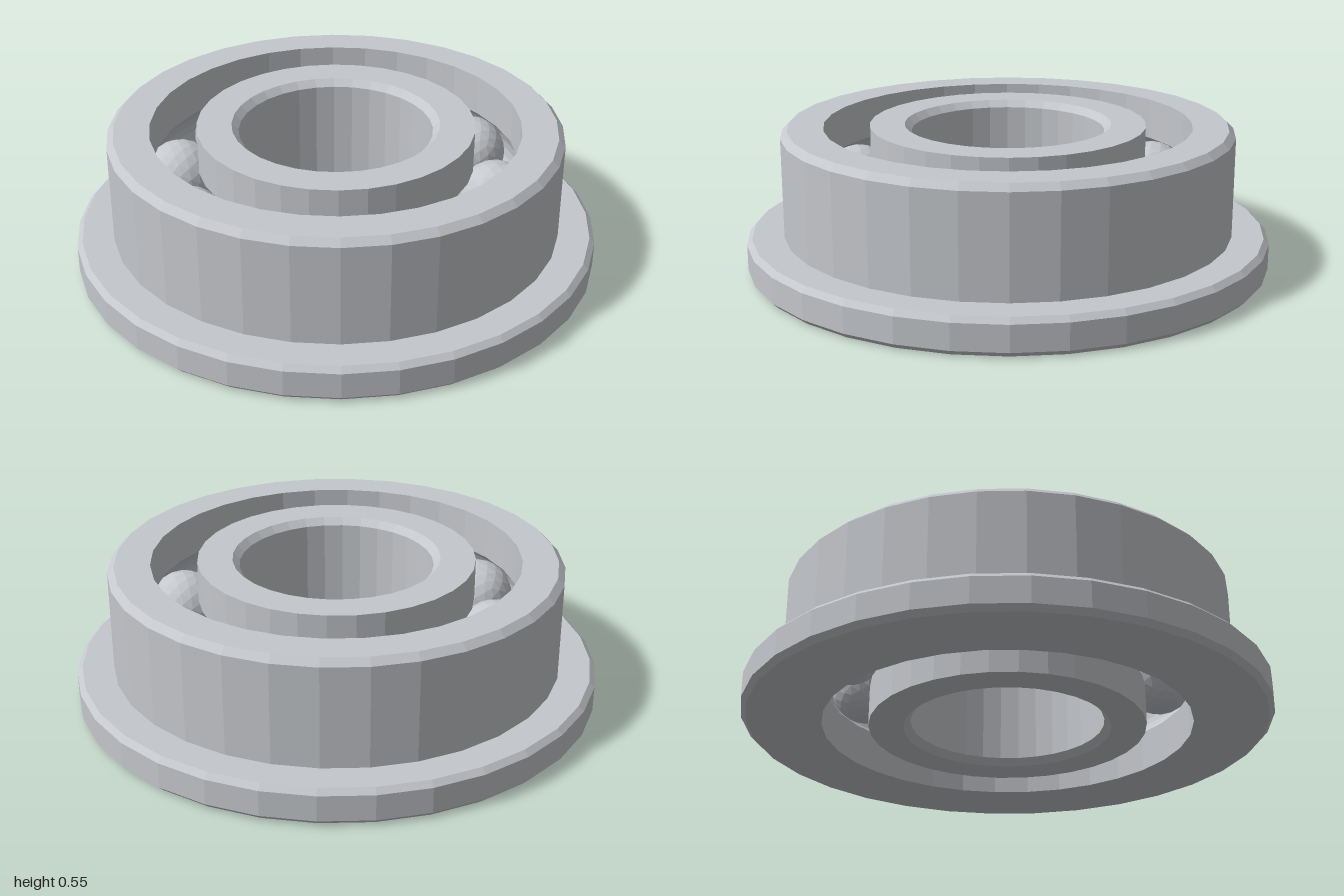
import * as THREE from 'three';

const HEIGHT = 0.545, MID = HEIGHT / 2;
const SEGMENTS = 32;
const PITCH = 0.612, BALL_RADIUS = 0.14, BALL_COUNT = 10;
const GROOVE = 0.143;

// Arc of the ball groove cut into a wall of the given radius, listed in the walking direction
function groove(wall, upward) {
  const side = Math.sign(wall - PITCH);
  const half = Math.acos(Math.abs(wall - PITCH) / GROOVE);
  const points = [];
  for (let i = 0; i <= 8; i++) {
    const a = (upward ? 1 : -1) * half * (i / 4 - 1);
    points.push([PITCH + side * GROOVE * Math.cos(a), MID + GROOVE * Math.sin(a)]);
  }
  return points;
}

// Closed ring turned from a counterclockwise (radius, height) outline
function ring(name, outline, material) {
  const points = [...outline, outline[0]].map(([r, y]) => new THREE.Vector2(r, y));
  const mesh = new THREE.Mesh(new THREE.LatheGeometry(points, SEGMENTS), material);
  mesh.name = name;
  return mesh;
}

// Faceted normals for the turned and ball surfaces
function faceted(mesh) {
  mesh.geometry = mesh.geometry.index ? mesh.geometry.toNonIndexed() : mesh.geometry;
  mesh.geometry.computeVertexNormals();
  return mesh;
}

export function createModel() {
  const model = new THREE.Group();
  model.name = 'flangedBallBearing';
  const steel = new THREE.MeshStandardMaterial({ color: 0xc4c7cc });
  steel.name = 'steel';

  // Outer ring with the bottom flange and chamfered rims
  model.add(faceted(ring('outerRing', [
    [0.70, 0], [0.98, 0], [1, 0.02], [1, 0.118], [0.98, 0.138],
    [0.86, 0.138], [0.86, 0.52], [0.835, HEIGHT], [0.70, HEIGHT],
    ...groove(0.70, false),
  ], steel)));

  // Inner ring with a chamfered bore
  model.add(faceted(ring('innerRing', [
    [0.393, 0], [0.525, 0], ...groove(0.525, true), [0.525, HEIGHT],
    [0.393, HEIGHT], [0.367, HEIGHT - 0.026], [0.367, 0.026],
  ], steel)));

  // Balls evenly spaced between the rings
  const balls = new THREE.Group();
  balls.name = 'balls';
  for (let i = 0; i < BALL_COUNT; i++) {
    const a = (i / BALL_COUNT) * Math.PI * 2;
    const ball = faceted(new THREE.Mesh(new THREE.IcosahedronGeometry(BALL_RADIUS, 3), steel));
    ball.name = 'ball';
    ball.position.set(PITCH * Math.cos(a), MID, PITCH * Math.sin(a));
    ball.rotation.y = -a;
    balls.add(ball);
  }
  model.add(balls);
  return model;
}
